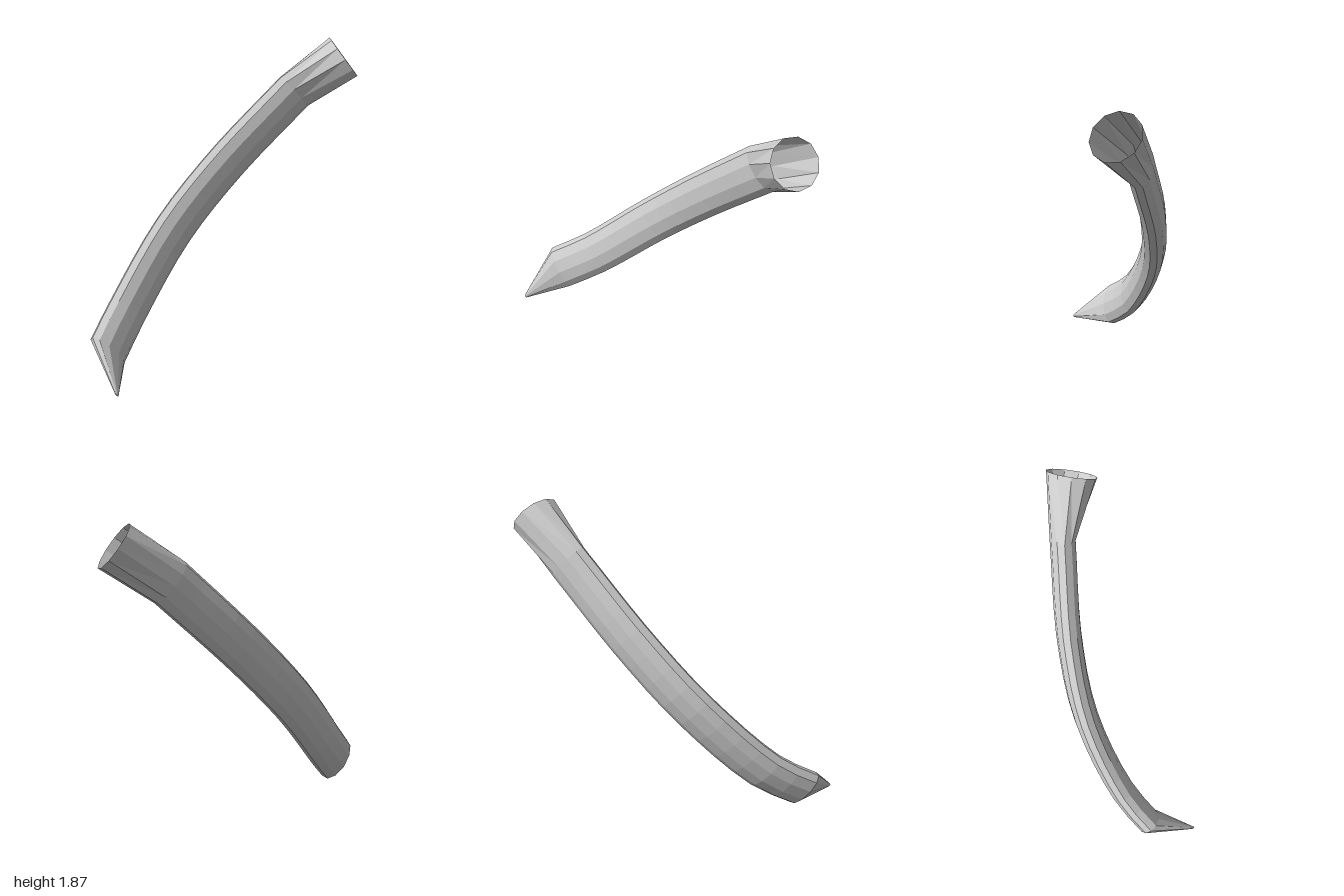
import * as THREE from 'three';

const SIDES = 11;
const V = (x, y, z) => new THREE.Vector3(x, y, z);

// Elliptical cross-section: long axis u, short axis v
function ring(center, u, v, a, b) {
  return Array.from({ length: SIDES }, (_, j) => {
    const t = (j / SIDES) * Math.PI * 2;
    return center.clone().addScaledVector(u, a * Math.cos(t)).addScaledVector(v, b * Math.sin(t));
  });
}

// Skin consecutive rings with quads; optionally close the first ring with a fan
function loft(name, rings, material, capStart = false) {
  const index = [];
  for (let i = 0; i < rings.length - 1; i++) {
    for (let j = 0; j < SIDES; j++) {
      const k = (j + 1) % SIDES;
      const a = i * SIDES + j, b = i * SIDES + k;
      index.push(a, b, a + SIDES, b, b + SIDES, a + SIDES);
    }
  }
  if (capStart) for (let j = 1; j < SIDES - 1; j++) index.push(0, j + 1, j);
  const indexed = new THREE.BufferGeometry().setFromPoints(rings.flat());
  indexed.setIndex(index);
  const geometry = indexed.toNonIndexed();
  geometry.computeVertexNormals();
  const mesh = new THREE.Mesh(geometry, material);
  mesh.name = name;
  return mesh;
}

export function createModel() {
  const group = new THREE.Group();
  group.name = 'curvedHorn';
  const material = new THREE.MeshStandardMaterial({
    color: 0xcccccc, flatShading: true, side: THREE.DoubleSide,
  });

  // Centre line of the flattened, bent shaft
  const path = new THREE.CatmullRomCurve3([
    V(-0.885, 0.145, 0.11), V(-0.7, 0.295, -0.055), V(-0.3, 0.705, -0.265),
    V(0.1, 1.085, -0.337), V(0.59, 1.525, -0.335),
  ]);
  const across = V(-0.66, 0.745, 0.08);
  const steps = 14;
  const shaft = [];
  let firstU, firstV;
  for (let i = 0; i <= steps; i++) {
    const t = path.getTangentAt(i / steps);
    const u = across.clone().addScaledVector(t, -across.dot(t)).normalize();
    const v = t.clone().cross(u);
    if (i === 0) { firstU = u; firstV = v; }
    shaft.push(ring(path.getPointAt(i / steps), u, v, 0.155, 0.08));
  }

  // Blunt-ended point at the bottom
  const point = ring(V(-0.925, 0.012, 0.412), firstU, firstV, 0.012, 0.01);

  // Round open mouth at the top
  const mouthU = V(-0.605, 0.797, 0).normalize();
  const mouthV = V(0.78, 0.592, 0.2).normalize().cross(mouthU).normalize();
  const mouth = ring(V(0.905, 1.745, -0.255), mouthU, mouthV, 0.157, 0.157);

  group.add(
    loft('tip', [point, shaft[0]], material, true),
    loft('shaft', shaft, material),
    loft('mouth', [shaft[steps], mouth], material),
  );
  return group;
}
